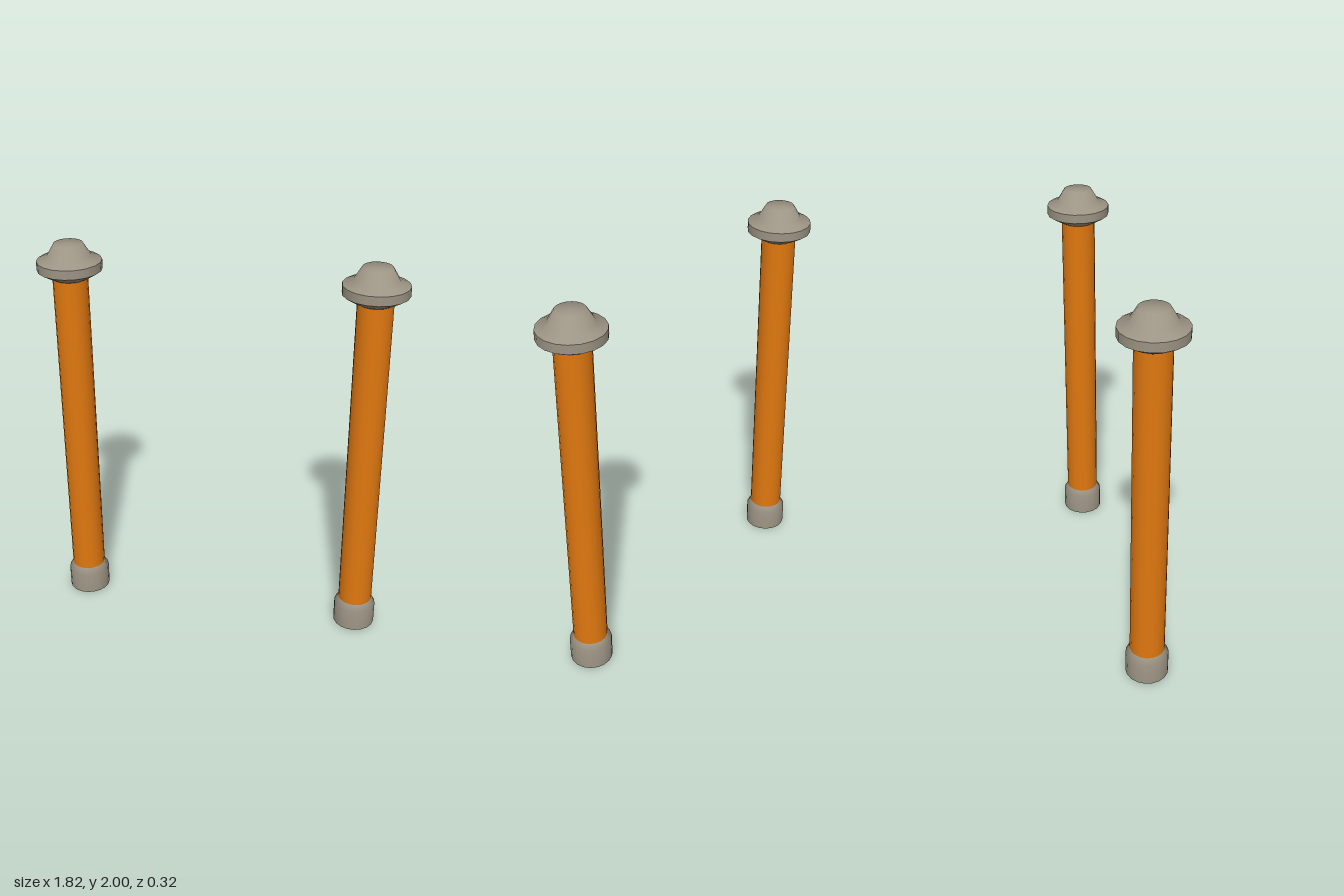
import * as THREE from 'three';

const SIDES = 18;

export function createModel() {
  const stone = new THREE.MeshStandardMaterial({ color: 0x9c9484 });
  stone.name = 'warm grey';
  const orange = new THREE.MeshStandardMaterial({ color: 0xe07810 });
  orange.name = 'orange';

  // Turned part from [radius, height] pairs, listed bottom to top
  const turned = (name, profile, material) => {
    const points = profile.map(([r, y]) => new THREE.Vector2(r, y));
    // start with a vertex on the x axis
    const geometry = new THREE.LatheGeometry(points, SIDES, Math.PI / 2);
    const mesh = new THREE.Mesh(geometry, material);
    mesh.name = name;
    return mesh;
  };

  const createPost = (name) => {
    const post = new THREE.Group();
    post.name = name;
    post.add(
      // Foot: sleeve with a chamfered shoulder and orange underside
      turned('footUnderside', [[0, 0], [0.108, 0]], orange),
      turned('footSleeve', [[0.108, 0], [0.108, 0.115], [0.0875, 0.148]], stone),
      // Long shaft
      turned('shaft', [[0.0875, 0.148], [0.0875, 1.825]], orange),
      // Cap: flared collar, upright rim and stepped crown, creased at the rim
      turned('capCollar', [[0.0875, 1.825], [0.108, 1.836], [0.161, 1.868]], stone),
      turned('capRim', [[0.161, 1.868], [0.161, 1.914]], stone),
      turned('capCrown', [[0.161, 1.914], [0.108, 1.94], [0.072, 2], [0, 2]], stone),
    );
    return post;
  };

  const model = new THREE.Group();
  model.name = 'postPair';
  for (const [name, side] of [['leftPost', 1], ['rightPost', -1]]) {
    const post = createPost(name);
    post.position.x = side * 0.75;
    model.add(post);
  }
  return model;
}
